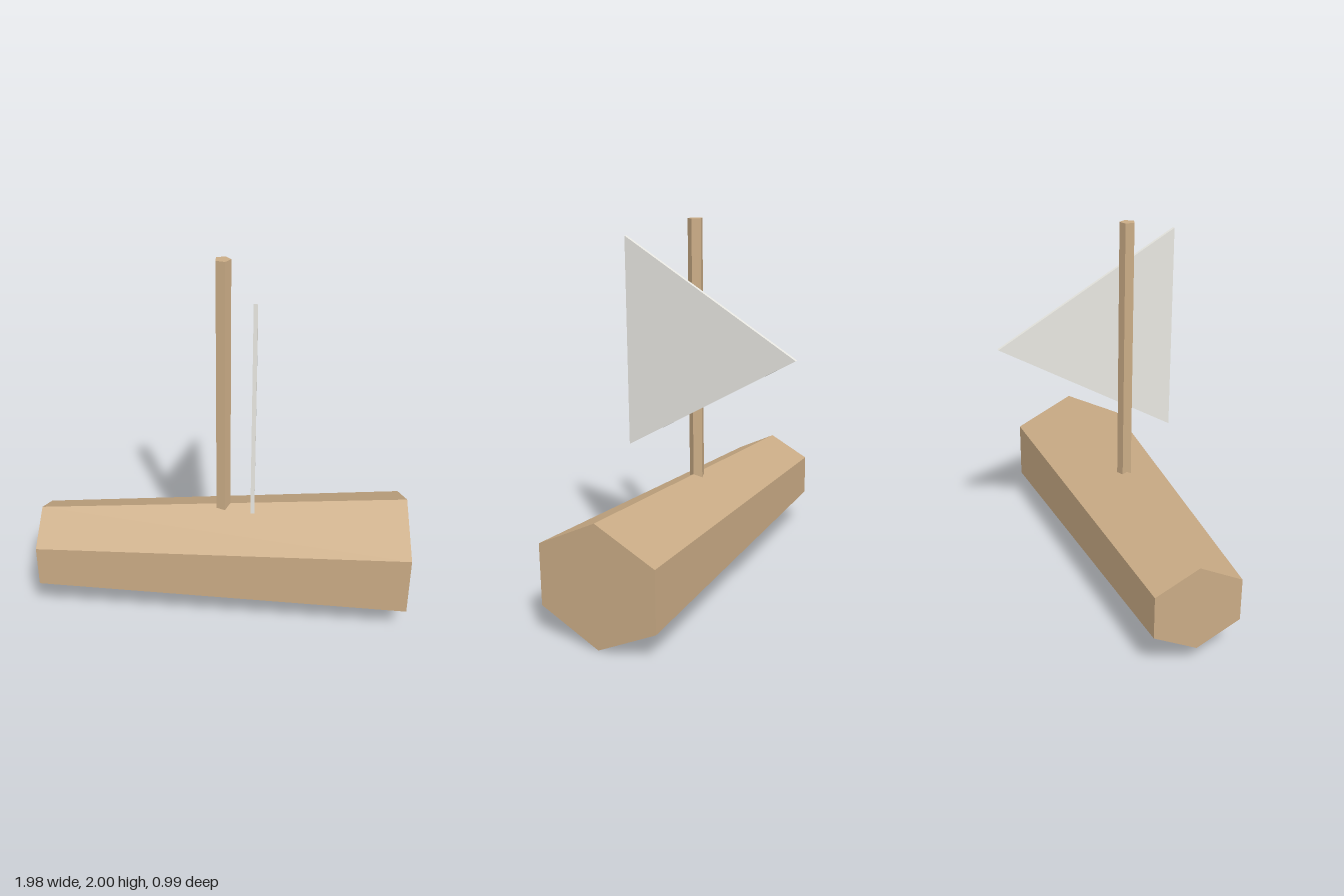
import * as THREE from 'three';

const wood = new THREE.MeshStandardMaterial({ color: 0xc9ab85 });
wood.name = 'tan wood';
const cloth = new THREE.MeshStandardMaterial({ color: 0xf5f4ee });
cloth.name = 'off-white cloth';

// Low-poly prism or taper with one corner turned to the given angle, faceted normals
function prism(rTop, rBottom, length, sides, turn, alongX) {
  const g = new THREE.CylinderGeometry(rTop, rBottom, length, sides).toNonIndexed();
  g.rotateY(turn);
  if (alongX) g.rotateZ(-Math.PI / 2);
  g.computeVertexNormals();
  return g;
}

function addPart(group, name, geometry, material, x, y, z) {
  const mesh = new THREE.Mesh(geometry, material);
  mesh.name = name;
  mesh.position.set(x, y, z);
  group.add(mesh);
  return mesh;
}

export function createModel() {
  const boat = new THREE.Group();
  boat.name = 'sailboat';
  const keelZ = 0.163;

  // Tapered hexagonal hull lying along x, slightly widened
  const hullGeometry = prism(0.33, 0.23, 1.98, 6, Math.PI / 2, true);
  hullGeometry.scale(1, 1, 1.158);
  hullGeometry.computeVertexNormals();
  addPart(boat, 'hull', hullGeometry, wood, 0, 0.33, keelZ);

  // Five-sided mast set into the hull ridge
  const mastBottom = 0.5, mastTop = 2;
  addPart(boat, 'mast', prism(0.041, 0.041, mastTop - mastBottom, 5, Math.PI / 2, false), wood,
    0, (mastTop + mastBottom) / 2, keelZ);

  // Thin triangular sail standing beside the mast, pointing back
  addPart(boat, 'sail', prism(0.655, 0.655, 0.02, 3, Math.PI, true), cloth, 0.162, 1.343, keelZ);

  return boat;
}
